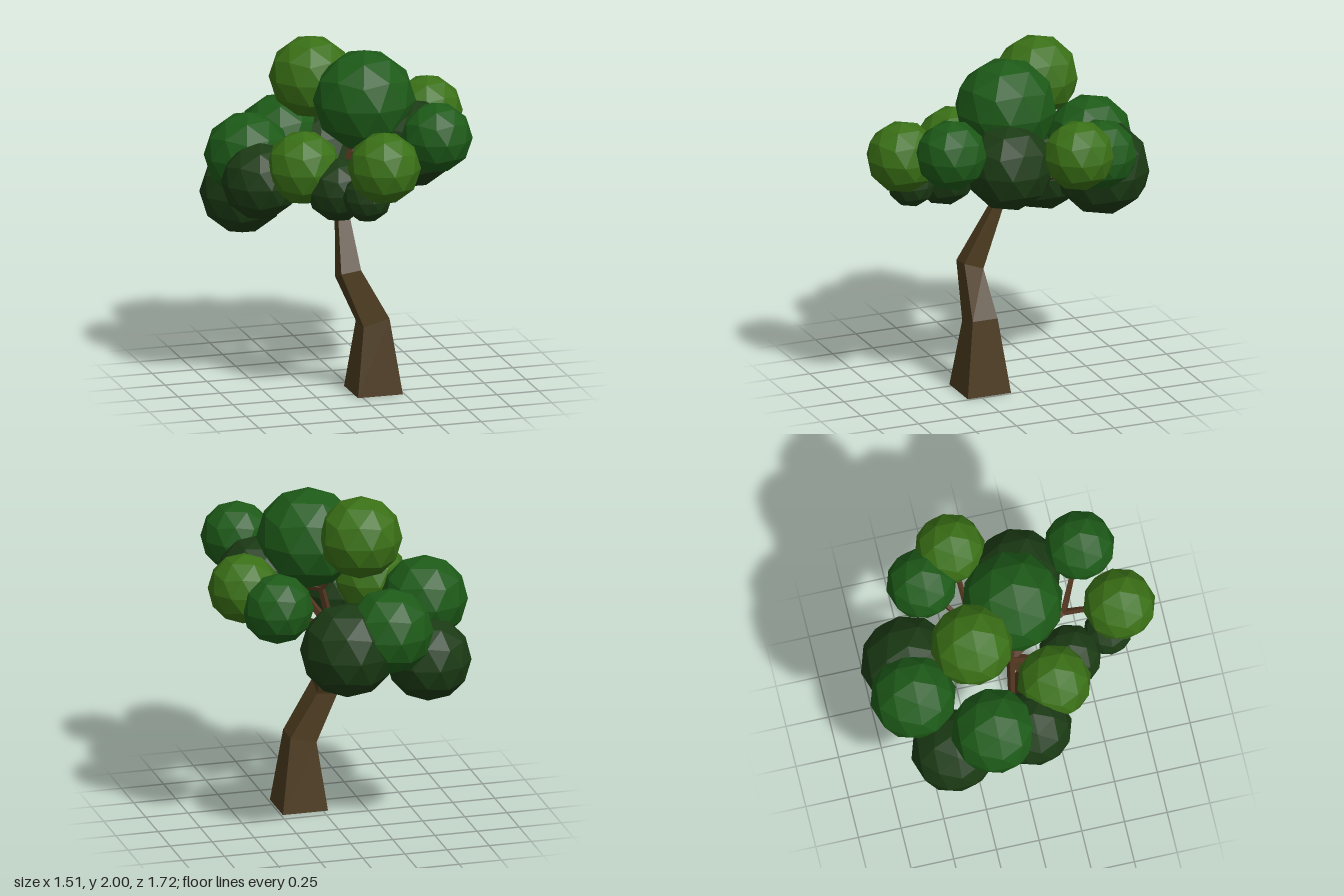
import * as THREE from 'three';

const mat = (color) => new THREE.MeshStandardMaterial({ color, flatShading: true });

export function createModel() {
  const tree = new THREE.Group();
  tree.name = 'tree';
  const bark = mat(0x4b3a1e), twig = mat(0x523620);
  const bright = mat(0x3a7016), mid = mat(0x1d5a18), dark = mat(0x1b3a14);

  // Crooked square trunk: rings of centre x, y, z, half width, tilt along x, tilt along z
  const rings = [
    [0.105, 0, 0.2, 0.134, 0, 0],
    [0.1, 0.42, 0.2, 0.077, 0.26, 0],
    [-0.046, 0.705, 0.2, 0.059, 0.13, 0.38],
    [-0.035, 1.13, 0, 0.024, 0, 0],
  ];
  const corners = [[1, 1], [1, -1], [-1, -1], [-1, 1]];
  const pos = [], index = [];
  for (const [x, y, z, h, tx, tz] of rings)
    for (const [a, b] of corners) pos.push(x + a * h, y + h * (a * tx + b * tz), z + b * h);
  for (let r = 0; r < rings.length - 1; r++)
    for (let i = 0; i < 4; i++) {
      const a = r * 4 + i, b = r * 4 + (i + 1) % 4;
      index.push(a, b, b + 4, a, b + 4, a + 4);
    }
  const top = (rings.length - 1) * 4;
  index.push(0, 2, 1, 0, 3, 2, top, top + 1, top + 2, top, top + 2, top + 3);
  const indexed = new THREE.BufferGeometry();
  indexed.setAttribute('position', new THREE.Float32BufferAttribute(pos, 3));
  indexed.setIndex(index);
  const trunkGeo = indexed.toNonIndexed();
  trunkGeo.computeVertexNormals();
  const trunk = new THREE.Mesh(trunkGeo, bark);
  trunk.name = 'trunk';
  tree.add(trunk);

  // Leaf balls grouped by the fork that carries them: x, y, z, radius, material
  const hub = [-0.035, 1.12, 0];
  const limbs = [
    { fork: [0.1, 1.32, 0.34], balls: [
      [0.03, 1.45, 0.65, 0.21, bright], [0.39, 1.56, 0.5, 0.205, mid]] },
    { fork: [0.14, 1.25, -0.18], balls: [
      [0.555, 1.51, -0.22, 0.205, bright], [0.41, 1.44, -0.42, 0.205, mid]] },
    { fork: [0.03, 1.38, 0], balls: [
      [-0.13, 1.76, -0.25, 0.24, bright], [0.1, 1.68, 0.04, 0.295, mid],
      [0.36, 1.425, 0.13, 0.255, dark]] },
    { fork: [-0.05, 1.17, -0.33], balls: [
      [-0.2, 1.31, -0.61, 0.25, mid], [0.04, 1.21, -0.585, 0.275, dark]] },
    { fork: [-0.27, 1.2, -0.05], balls: [
      [-0.52, 1.34, -0.21, 0.25, mid], [-0.48, 1.055, -0.44, 0.245, dark],
      [-0.515, 1.245, 0.02, 0.225, dark]] },
    { fork: [-0.1, 1.17, 0.2], balls: [
      [-0.31, 1.355, 0.19, 0.215, bright], [-0.14, 1.245, 0.32, 0.185, dark],
      [-0.045, 1.255, 0.565, 0.14, dark]] },
  ];

  // Tapered square stick between two points
  const stick = (from, to, r0, r1, name) => {
    const a = new THREE.Vector3(...from), b = new THREE.Vector3(...to);
    const dir = b.clone().sub(a);
    const m = new THREE.Mesh(new THREE.CylinderGeometry(r1, r0, dir.length(), 4), twig);
    m.position.copy(a).add(b).multiplyScalar(0.5);
    m.quaternion.setFromUnitVectors(new THREE.Vector3(0, 1, 0), dir.normalize());
    m.name = name;
    tree.add(m);
  };

  // Low-poly ball with a vertex pointing straight up
  const ballGeo = new THREE.IcosahedronGeometry(1, 1);
  ballGeo.rotateZ(Math.atan(2 / (1 + Math.sqrt(5))));

  for (const { fork, balls } of limbs) {
    stick(hub, fork, 0.026, 0.02, 'branch');
    for (const [x, y, z, r, material] of balls) {
      stick(fork, [x, y, z], 0.02, 0.012, 'twig');
      const leaf = new THREE.Mesh(ballGeo, material);
      leaf.position.set(x, y, z);
      leaf.scale.setScalar(r);
      leaf.name = 'foliage';
      tree.add(leaf);
    }
  }
  return tree;
}
